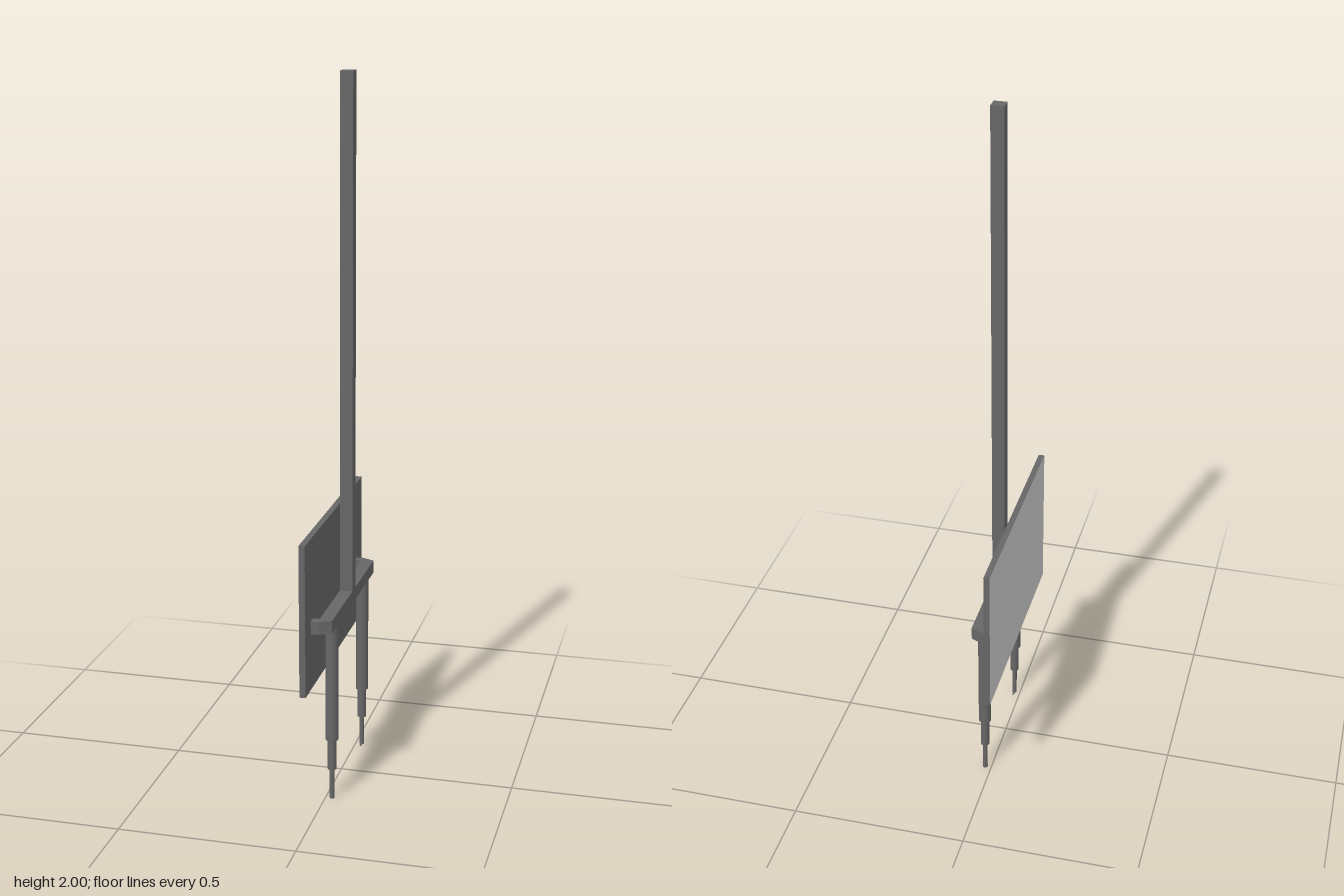
import * as THREE from 'three';

const dark = new THREE.MeshStandardMaterial({ color: 0x666666 });
const light = new THREE.MeshStandardMaterial({ color: 0xcccccc });

// Box given by its low and high corners
function box(name, [x0, y0, z0], [x1, y1, z1], material = dark) {
  const mesh = new THREE.Mesh(new THREE.BoxGeometry(x1 - x0, y1 - y0, z1 - z0), material);
  mesh.name = name;
  mesh.position.set((x0 + x1) / 2, (y0 + y1) / 2, (z0 + z1) / 2);
  return mesh;
}

export function createModel() {
  const model = new THREE.Group();
  model.name = 'signPost';

  // Flat panel with a light outer face, and tall post
  const panelFaces = [dark, light, dark, dark, dark, dark];
  model.add(box('panel', [-0.036, 0.361, -0.325], [-0.019, 0.793, 0.323], panelFaces));
  model.add(box('post', [0, 0.555, -0.018], [0.036, 2, 0.017]));

  // Crossbar whose bevelled ends turn back to meet the panel
  const half = [[0.036, 0.249], [0, 0.265], [-0.019, 0.265], [-0.019, 0.242], [0, 0.24]];
  const outline = [...half, ...half.map(([x, z]) => [x, -z]).reverse()];
  const shape = new THREE.Shape(outline.map(([x, z]) => new THREE.Vector2(x, -z)));
  const barGeometry = new THREE.ExtrudeGeometry(shape, { depth: 0.037, bevelEnabled: false });
  barGeometry.rotateX(-Math.PI / 2);
  const crossbar = new THREE.Mesh(barGeometry, dark);
  crossbar.name = 'crossbar';
  crossbar.position.y = 0.523;
  model.add(crossbar);

  // Two round telescoping legs: [name, bottom, top, radius]
  const sections = [
    ['upperLeg', 0.18, 0.526, 0.018],
    ['middleLeg', 0.09, 0.18, 0.0125],
    ['lowerLeg', 0, 0.09, 0.007],
  ];
  for (const side of [1, -1]) {
    const leg = new THREE.Group();
    leg.name = side > 0 ? 'frontLeg' : 'backLeg';
    leg.position.set(0.018, 0, 0.18 * side);
    for (const [name, low, high, radius] of sections) {
      const tube = new THREE.Mesh(new THREE.CylinderGeometry(radius, radius, high - low, 32), dark);
      tube.name = name;
      tube.position.y = (low + high) / 2;
      leg.add(tube);
    }
    // Small toe pointing inward
    const toe = [0, -0.018 * side];
    leg.add(box('toe', [-0.003, 0, Math.min(...toe)], [0.003, 0.002, Math.max(...toe)]));
    model.add(leg);
  }
  return model;
}
